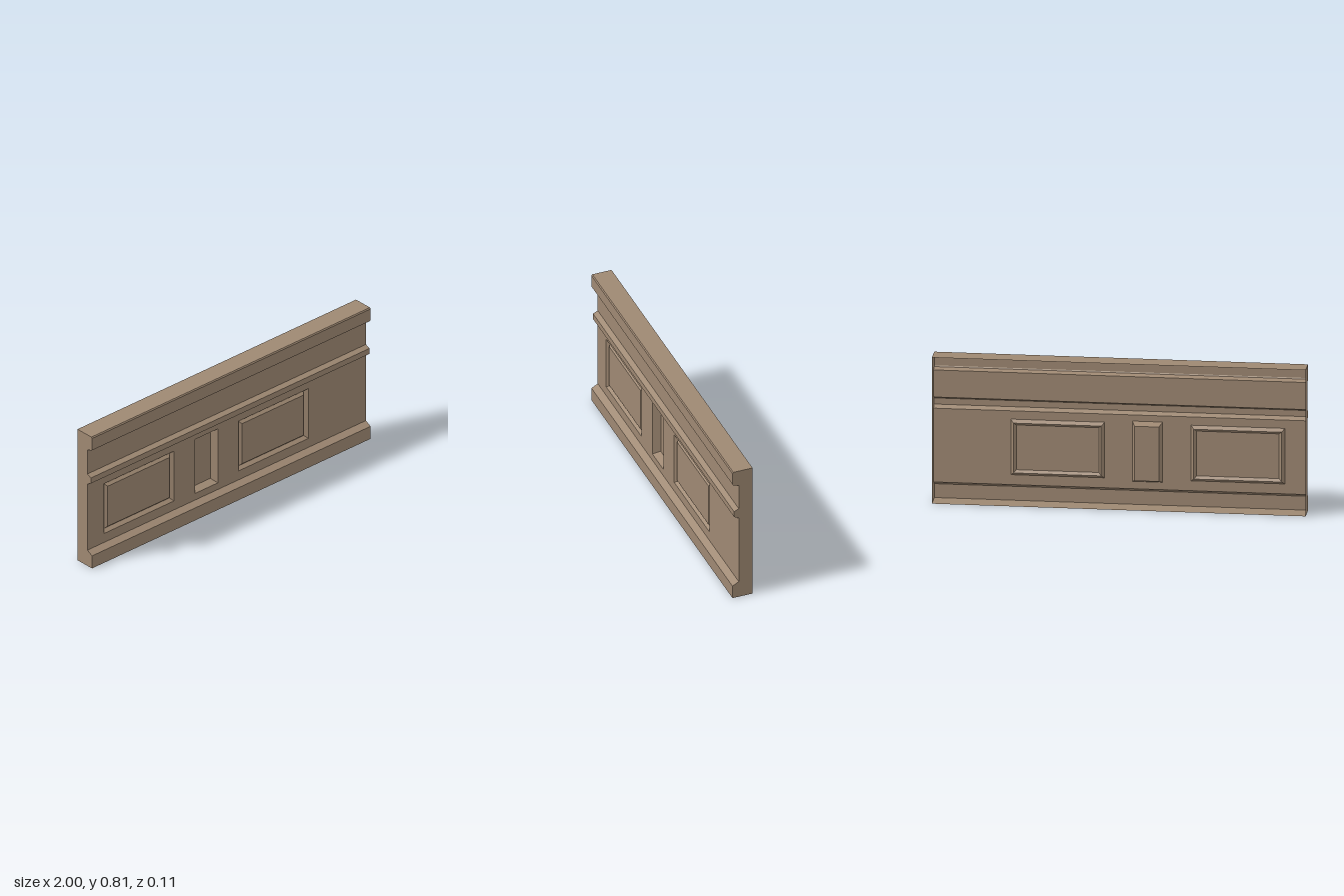
import * as THREE from 'three';

const wood = new THREE.MeshStandardMaterial({ color: 0x9e8872, side: THREE.DoubleSide });
wood.name = 'brown wood';

const WALL = 0.022; // z of the main wall face

// Flat-shaded geometry from four-cornered faces, corners anticlockwise
function quads(list) {
  const pos = [];
  for (const [a, b, c, d] of list) pos.push(...a, ...b, ...c, ...a, ...c, ...d);
  const g = new THREE.BufferGeometry();
  g.setAttribute('position', new THREE.Float32BufferAttribute(pos, 3));
  g.computeVertexNormals();
  return g;
}

// Sweep an open [z, y] profile along the full width
function strip(profile) {
  return quads(profile.slice(1).map(([z1, y1], i) => {
    const [z0, y0] = profile[i];
    return [[-1, y0, z0], [1, y0, z0], [1, y1, z1], [-1, y1, z1]];
  }));
}

const corners = ([x0, x1, y0, y1], inset, z) => [
  [x0 + inset, y0 + inset, z], [x1 - inset, y0 + inset, z],
  [x1 - inset, y1 - inset, z], [x0 + inset, y1 - inset, z],
];

// Nested rectangles [inset, z], joined by bevels and closed by a flat field
function coffer(rect, steps) {
  const rings = steps.map(([inset, z]) => corners(rect, inset, z));
  const faces = [rings[rings.length - 1]];
  for (let r = 1; r < rings.length; r++) {
    for (let i = 0; i < 4; i++) {
      const j = (i + 1) % 4;
      faces.push([rings[r - 1][i], rings[r - 1][j], rings[r][j], rings[r][i]]);
    }
  }
  return quads(faces);
}

export function createModel() {
  const group = new THREE.Group();
  group.name = 'panelledWall';
  const add = (name, geometry) => {
    const mesh = new THREE.Mesh(geometry, wood);
    mesh.name = name;
    group.add(mesh);
  };

  // Side profile as [z, y], below and above the panelled zone
  const base = [[-0.057, 0], [0.058, 0], [0.058, 0.077], [WALL, 0.097]];
  const rail = [[WALL, 0.506], [0.049, 0.521], [0.049, 0.555], [WALL, 0.568]];
  const frieze = [[WALL, 0.568], [WALL, 0.718]];
  const cap = [[WALL, 0.718], [0.054, 0.727], [0.058, 0.733], [0.058, 0.803], [0.053, 0.81], [-0.057, 0.81]];
  add('baseboard', strip(base));
  add('middleRail', strip(rail));
  add('upperWall', strip(frieze));
  add('topRail', strip(cap));

  // Panels: [x0, x1, y0, y1]
  const large = [[WALL, 0], [0.016, 0.002], [0.03, 0.017]];
  const panels = [
    { name: 'rightPanel', rect: [-0.88, -0.378, 0.152, 0.46], steps: [[0, WALL], [0.016, 0.002], [0.03, 0.017]] },
    { name: 'leftPanel', rect: [0.085, 0.587, 0.152, 0.46], steps: [[0, WALL], [0.016, 0.002], [0.03, 0.017]] },
    { name: 'narrowRecess', rect: [-0.226, -0.064, 0.138, 0.472], steps: [[0, WALL], [0.016, -0.02]] },
  ];

  // Wall face with an opening for each panel
  const rectPoints = (rect) => corners(rect, 0, 0).map(([x, y]) => new THREE.Vector2(x, y));
  const face = new THREE.Shape(rectPoints([-1, 1, 0.097, 0.506]));
  for (const { name, rect, steps } of panels) {
    face.holes.push(new THREE.Path(rectPoints(rect)));
    add(name, coffer(rect, steps));
  }
  add('lowerWall', new THREE.ShapeGeometry(face).translate(0, 0, WALL));

  // End caps follow the profile; the back stays open
  const outline = [...base, ...rail, ...cap].map(([z, y]) => new THREE.Vector2(z, y));
  const rightEnd = new THREE.ShapeGeometry(new THREE.Shape(outline)).rotateY(-Math.PI / 2);
  const leftEnd = rightEnd.clone().scale(-1, 1, 1);
  leftEnd.index.array.reverse();
  add('rightEnd', rightEnd.translate(-1, 0, 0));
  add('leftEnd', leftEnd.translate(1, 0, 0));

  return group;
}
